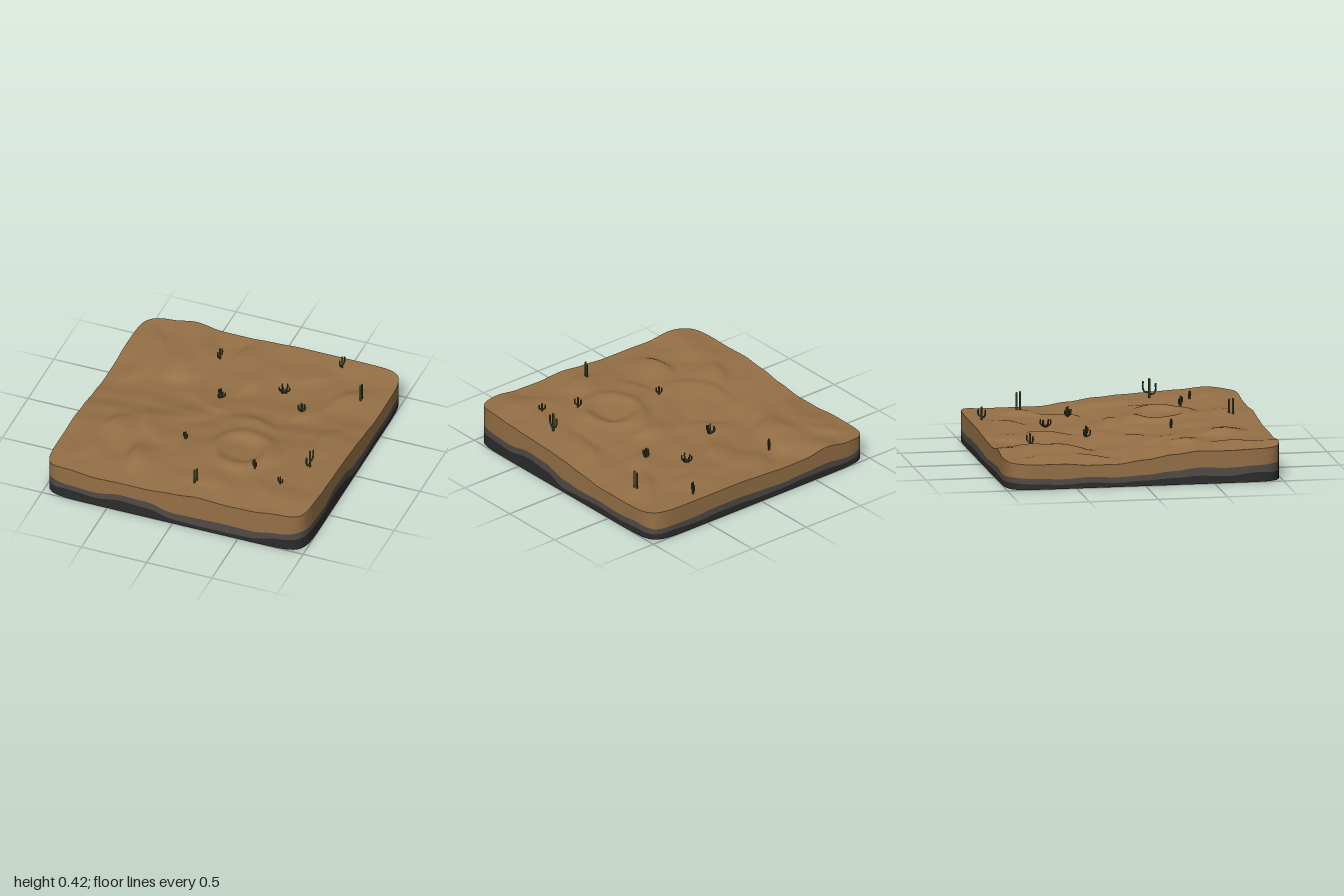
import * as THREE from 'three';

const mat = (name, color, side = THREE.FrontSide) => {
  const m = new THREE.MeshStandardMaterial({ color, side });
  m.name = name;
  return m;
};

// Edge heights, sampled evenly from -1 to 1 along each side of the block
const sandTop = {
  front: [.245, .26, .24, .245, .245, .26, .28, .268, .272, .295, .29],
  back: [.19, .2, .23, .2, .2, .21, .22, .22, .22, .22, .22],
  right: [.22, .205, .205, .205, .23, .255, .27, .28, .29, .305, .29],
  left: [.19, .18, .18, .165, .165, .19, .22, .24, .235, .24, .245],
};
const clayTop = {
  front: [.13, .12, .11, .14, .135, .09, .095, .1, .095, .125, .15],
  back: [.09, .08, .1, .09, .08, .09, .1, .1, .09, .09, .08],
  right: [.08, .1, .085, .095, .09, .1, .15, .16, .13, .14, .15],
  left: [.09, .08, .07, .08, .07, .08, .1, .12, .11, .12, .13],
};
const rockTop = {
  front: [.06, .08, .065, .09, .08, .035, .03, .03, .035, .08, .09],
  back: [.05, .04, .05, .05, .04, .04, .05, .05, .04, .05, .04],
  right: [.04, .05, .04, .05, .04, .03, .09, .11, .08, .09, .09],
  left: [.05, .04, .03, .04, .03, .04, .05, .06, .05, .07, .06],
};

// Smooth lookup along one side
function sample(list, t) {
  const f = THREE.MathUtils.clamp((t + 1) / 2, 0, 1) * (list.length - 1);
  const i = Math.min(Math.floor(f), list.length - 2), k = f - i;
  return THREE.MathUtils.lerp(list[i], list[i + 1], k * k * (3 - 2 * k));
}

// Patch blended from its four sides
function patch(p, x, z) {
  const u = (x + 1) / 2, v = (z + 1) / 2, n = p.front.length - 1;
  const sides = (1 - v) * sample(p.back, x) + v * sample(p.front, x)
    + (1 - u) * sample(p.left, z) + u * sample(p.right, z);
  const corners = (1 - v) * ((1 - u) * p.back[0] + u * p.back[n])
    + v * ((1 - u) * p.front[0] + u * p.front[n]);
  return sides - corners;
}

// Dunes: x, z, lee direction in degrees, height, half length of crest
const dunes = [
  [-.42, .68, 170, .05, .16], [-.68, .3, 215, .03, .14], [-.48, .25, 150, .025, .22],
  [-.42, -.7, 10, .035, .25], [-.16, -.82, 200, .03, .16], [-.5, -.42, 60, .03, .14],
  [-.8, -.35, 30, .025, .2], [-.8, -.75, 320, .02, .18], [.02, -.5, 20, .025, .2],
  [.4, -.7, 60, .02, .2], [.72, -.58, 215, .03, .16], [.55, -.3, 40, .025, .2],
  [-.15, -.15, 110, .025, .2], [.2, -.05, 280, .02, .2], [-.1, .5, 160, .02, .18],
  [.58, .25, 20, .015, .2], [-.75, .7, 25, .015, .18], [.1, .8, 100, .015, .2],
  [.75, 0, 200, .02, .2], [-.25, .05, 60, .018, .16], [.6, .75, 140, .012, .2],
];

function height(x, z) {
  let bump = 0;
  for (const [dx, dz, deg, amp, len] of dunes) {
    const a = deg * Math.PI / 180, px = x - dx, pz = z - dz;
    const along = -px * Math.sin(a) + pz * Math.cos(a);
    const across = px * Math.cos(a) + pz * Math.sin(a) + along * along * 1.2;
    const w = across > 0 ? .055 : .17; // steep lee, gentle windward slope
    bump += amp * Math.exp(-((across / w) ** 2) - (along / len) ** 2);
  }
  // Shallow round hollow with a raised rim
  const r = Math.hypot(x - .27, z - .34);
  bump += .022 * Math.exp(-(((r - .2) / .06) ** 2)) - .012 * Math.exp(-((r / .15) ** 4));
  // Fine ripples
  bump += .004 * Math.sin(9 * x + 3 * Math.sin(5 * z)) * Math.sin(8 * z + 2 * Math.sin(6 * x + 1));
  const edge = Math.max(Math.abs(x), Math.abs(z));
  return patch(sandTop, x, z) + (bump - .004) * (1 - Math.min(1, edge) ** 10);
}

// Rounded-square outline, running from +x towards +z
const N = 240;
const outline = Array.from({ length: N }, (_, i) => {
  const side = Math.floor(i / (N / 4)), t = (i % (N / 4)) / (N / 8) - 1;
  const [x, z] = [[1, t], [-t, 1], [-1, -t], [t, -1]][side];
  const s = (Math.abs(x) ** 14 + Math.abs(z) ** 14) ** (-1 / 14);
  return [x * s, z * s];
});

// Surface from closed rings of N points, each ring a function of the outline point
function ringSurface(rings) {
  const pos = [], index = [];
  rings.forEach((ring) => outline.forEach(([x, z]) => pos.push(...ring(x, z))));
  for (let j = 0; j < rings.length - 1; j++) {
    for (let i = 0; i < N; i++) {
      const a = j * N + i, b = j * N + (i + 1) % N;
      index.push(a, a + N, b, b, a + N, b + N);
    }
  }
  const g = new THREE.BufferGeometry();
  g.setAttribute('position', new THREE.Float32BufferAttribute(pos, 3));
  g.setIndex(index);
  g.computeVertexNormals();
  return g;
}

export function createModel() {
  const model = new THREE.Group();
  const sand = mat('sand', 0x957046);
  const clay = mat('grey clay', 0x514b46);
  const rock = mat('dark rock', 0x2d2c2c);
  const green = mat('cactus green', 0x414a2c);
  const add = (name, geometry, material, parent = model) => {
    const mesh = new THREE.Mesh(geometry, material);
    mesh.name = name;
    parent.add(mesh);
    return mesh;
  };

  // Dune surface, from the rim in to the centre
  const steps = 70;
  add('duneSurface', ringSurface(Array.from({ length: steps + 1 }, (_, j) => (x, z) => {
    const k = 1 - j / steps;
    return [x * k, height(x * k, z * k), z * k];
  })), sand);

  // Layered walls
  const level = (f) => (x, z) => [x, f(x, z), z];
  const floor = level(() => 0), rockLine = level((x, z) => patch(rockTop, x, z));
  const clayLine = level((x, z) => patch(clayTop, x, z)), rim = level(height);
  add('rockLayer', ringSurface([floor, rockLine]), rock);
  add('clayLayer', ringSurface([rockLine, clayLine]), clay);
  add('sandLayer', ringSurface([clayLine, rim]), sand);
  add('underside', ringSurface([() => [0, 0, 0], floor]), rock);

  // Round-ended stem along a few points
  const stem = (name, points, radius, parent) => {
    const curve = new THREE.CatmullRomCurve3(points.map((p) => new THREE.Vector3(...p)));
    add(name, new THREE.TubeGeometry(curve, 10, radius, 7), green, parent);
    add(name + 'Tip', new THREE.SphereGeometry(radius, 7, 5), green, parent)
      .position.set(...points[points.length - 1]);
  };
  const plant = (name, x, z, deg) => {
    const g = new THREE.Group();
    g.name = name;
    g.position.set(x, height(x, z), z);
    g.rotation.y = deg * Math.PI / 180;
    model.add(g);
    return g;
  };

  // Upright cacti: x, z, height, turn, arm reach (0 = a pair of plain columns)
  const cacti = [
    [.8, .36, .135, 80, .045], [.55, -.9, .09, 70, .025], [-.31, -.71, .085, 65, .022],
    [.44, .52, .075, -40, .022], [.68, .63, .055, -25, .022], [-.16, .34, .06, -30, .02],
    [-.13, -.27, .075, -35, .025], [.48, -.29, .07, 20, .02],
    [.82, -.585, .125, 90, 0], [.11, .825, .105, 70, 0],
  ];
  for (const [x, z, h, deg, reach] of cacti) {
    const g = plant('cactus', x, z, deg), r = .0055 + h * .018;
    if (reach === 0) {
      stem('column', [[-.013, -.01, 0], [-.013, h * .5, 0], [-.013, h, 0]], r, g);
      stem('column', [[.013, -.01, 0], [.013, h * .5, 0], [.013, h * .95, 0]], r, g);
      continue;
    }
    stem('trunk', [[0, -.01, 0], [0, h * .5, 0], [0, h, 0]], r, g);
    for (const s of [-1, 1]) {
      const y = h * (s < 0 ? .2 : .3);
      stem('arm', [[0, y, 0], [s * reach * .7, y + .004, 0], [s * reach, y + h * .2, 0],
        [s * reach, h * (s < 0 ? .75 : .85), 0]], r * .85, g);
    }
  }

  // Low sprawling clumps: x, z, arm count, spread
  for (const [x, z, count, spread] of [[.27, -.49, 6, .036], [.48, -.29, 4, .024], [-.13, -.27, 3, .03]]) {
    const g = plant('cactusClump', x, z, 15);
    for (let i = 0; i < count; i++) {
      const a = i / count * Math.PI * 2, c = Math.cos(a) * spread, s = Math.sin(a) * spread;
      stem('shoot', [[0, .002, 0], [c * .6, .012, s * .6], [c, .025, s], [c, .042 + .006 * (i % 3), s]], .0055, g);
    }
  }
  return model;
}
